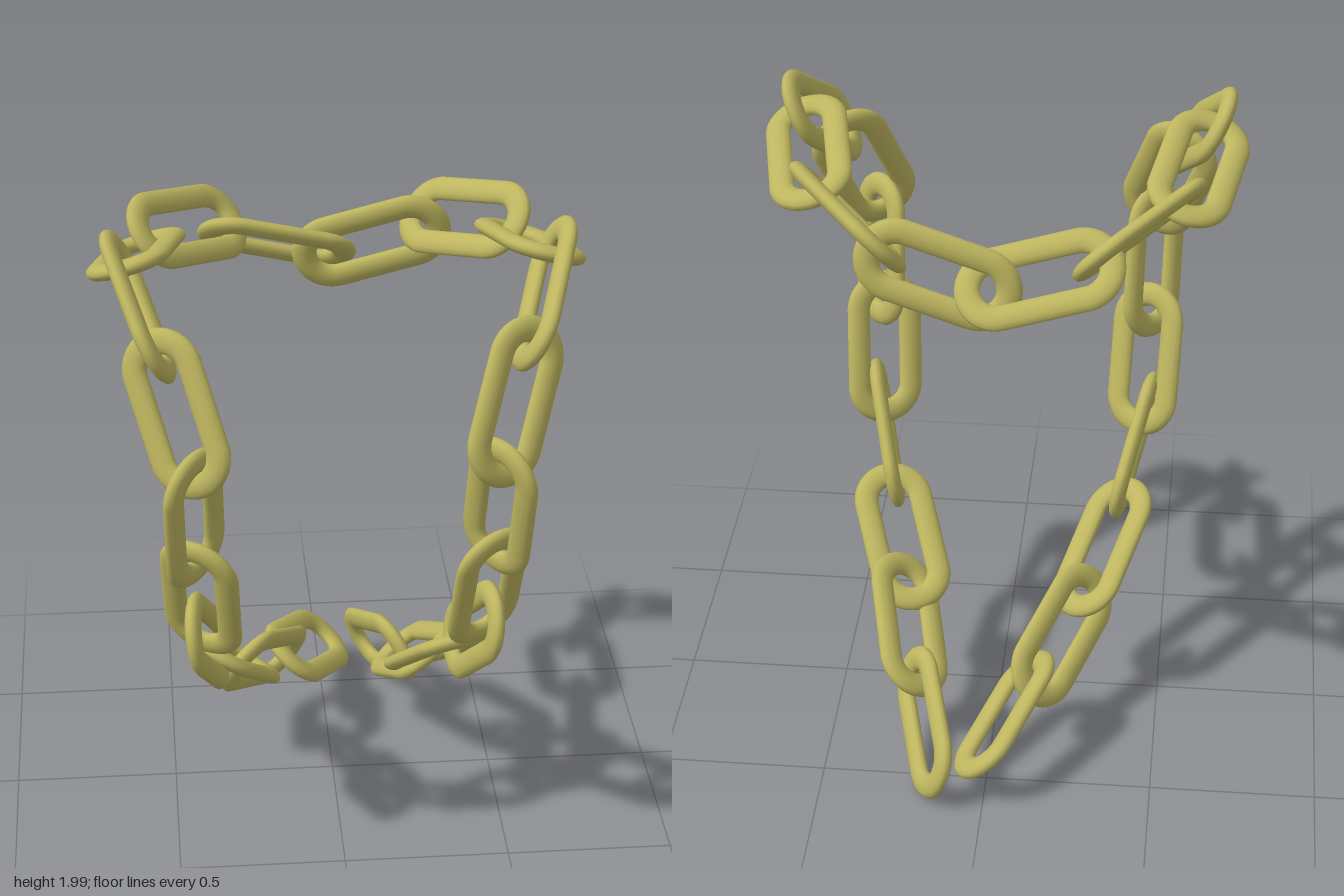
import * as THREE from 'three';

// Flattened oval link: a torus pulled apart along x and thinned along z
function linkGeometry() {
  const geo = new THREE.TorusGeometry(0.0875, 0.0375, 14, 42);
  const p = geo.attributes.position;
  for (let i = 0; i < p.count; i++) p.setX(i, p.getX(i) + Math.sign(p.getX(i)) * 0.12);
  geo.scale(1, 1, 0.63);
  return geo;
}

export function createModel() {
  const chain = new THREE.Group();
  chain.name = 'chain';
  const geo = linkGeometry();
  const brass = new THREE.MeshStandardMaterial({ color: 0xbdb55f });

  // Places a link by its centre, long direction and width direction
  function addLink(name, centre, along, across) {
    const d = new THREE.Vector3(...along).normalize();
    const n = d.clone().cross(new THREE.Vector3(...across)).normalize();
    const w = n.clone().cross(d);
    const link = new THREE.Mesh(geo, brass);
    link.name = name;
    link.quaternion.setFromRotationMatrix(new THREE.Matrix4().makeBasis(d, w, n));
    link.position.set(...centre);
    chain.add(link);
  }

  // Links that occur on both sides, from the back of the top to the lower front
  const paired = [
    ['upperBackLink', [0.41, 1.80, -0.245], [0.66, 0.22, 0.71], [0.48, 0.75, -0.45]],
    ['upperSideLink', [0.563, 1.848, 0.05], [0.19, 0.22, 0.96], [0.95, -0.3, -0.12]],
    ['topCornerLink', [0.565, 1.82, 0.34], [0.28, 0.55, -0.79], [0.35, 0.70, 0.62]],
    ['upperFrontLink', [0.47, 1.57, 0.51], [0.27, 0.86, -0.40], [0.87, -0.1, -0.45]],
    ['middleFrontLink', [0.43, 1.26, 0.55], [0.02, 0.95, 0.28], [0.6, 0, 0.75]],
    ['lowerFrontLink', [0.415, 0.95, 0.47], [0.04, 0.93, 0.36], [0.85, 0.15, -0.45]],
    ['lowerBendLink', [0.395, 0.715, 0.33], [0.22, 0.66, 0.71], [0, 0.73, -0.68]],
  ];
  const mirror = ([x, y, z]) => [-x, y, z];
  for (const [name, c, d, w] of paired) {
    addLink(name + 'Left', c, d, w);
    addLink(name + 'Right', mirror(c), mirror(d), mirror(w));
  }

  // Two links joining the sides across the back of the top
  addLink('crossLinkLeft', [0.145, 1.685, -0.35], [0.95, 0.28, 0.08], [-0.28, 0.93, 0.15]);
  addLink('crossLinkRight', [-0.14, 1.69, -0.357], [0.96, -0.25, -0.09], [0.1, 0.65, 0.75]);

  // Loose ends, each hanging with its own twist
  addLink('tailLinkLeft1', [0.32, 0.49, 0.08], [0.3, 0.62, 0.72], [0.92, -0.04, -0.35]);
  addLink('tailLinkLeft2', [0.27, 0.335, -0.17], [0.21, 0.49, 0.85], [0.74, 0.47, -0.455]);
  addLink('endLinkLeft', [0.193, 0.182, -0.455], [0.25, 0.43, 0.87], [-0.42, 0.79, -0.27]);
  addLink('tailLinkRight1', [-0.312, 0.49, 0.08], [-0.32, 0.58, 0.75], [0.77, -0.26, 0.53]);
  addLink('tailLinkRight2', [-0.205, 0.325, -0.17], [-0.4, 0.45, 0.8], [0.63, 0.78, -0.12]);
  addLink('endLinkRight', [-0.05, 0.205, -0.425], [-0.39, 0.35, 0.85], [0.64, -0.57, 0.52]);
  return chain;
}
